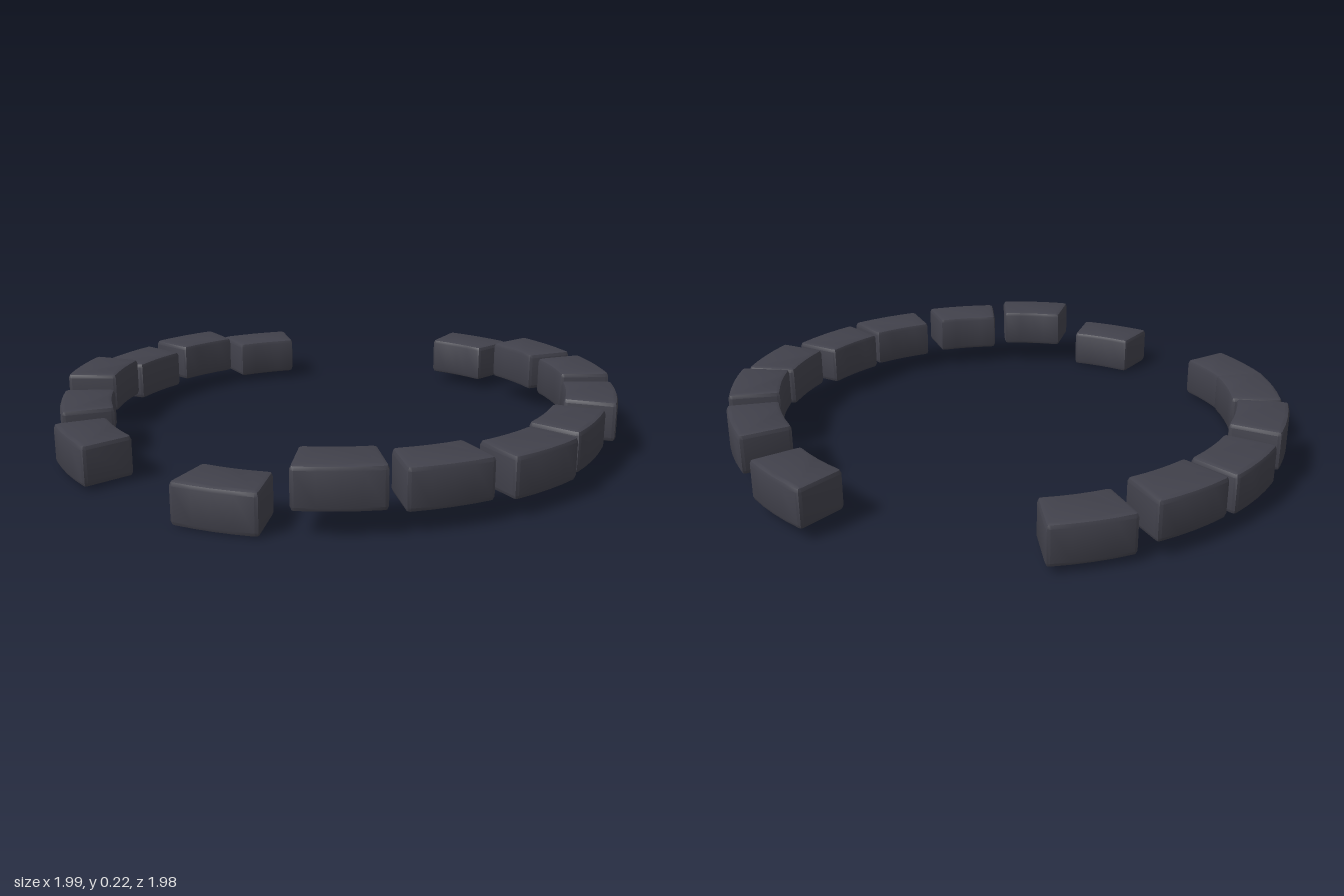
import * as THREE from 'three';
import { toCreasedNormals } from 'three/addons/utils/BufferGeometryUtils.js';

const OUTER = 0.985, INNER = 0.805, HALF = THREE.MathUtils.degToRad(8.3);
const HEIGHT = 0.142, BEVEL = 0.016, ROUND = 0.014;

// one curved block: a ring sector with rounded corners and bevelled rims
function stoneGeometry() {
  const mid = (OUTER + INNER) / 2 * Math.cos(HALF);
  const at = (r, a) => [r * Math.sin(a), r * Math.cos(a) - mid];
  const s = new THREE.Shape();
  const arc = (r, from, to) => {
    for (let i = 1; i <= 4; i++) s.lineTo(...at(r, from + (to - from) * i / 4));
  };
  const o = HALF - ROUND / OUTER, n = HALF - ROUND / INNER;
  s.moveTo(...at(OUTER, -o));
  arc(OUTER, -o, o);
  s.quadraticCurveTo(...at(OUTER, HALF), ...at(OUTER - ROUND, HALF));
  s.lineTo(...at(INNER + ROUND, HALF));
  s.quadraticCurveTo(...at(INNER, HALF), ...at(INNER, n));
  arc(INNER, n, -n);
  s.quadraticCurveTo(...at(INNER, -HALF), ...at(INNER + ROUND, -HALF));
  s.lineTo(...at(OUTER - ROUND, -HALF));
  s.quadraticCurveTo(...at(OUTER, -HALF), ...at(OUTER, -o));
  const geo = new THREE.ExtrudeGeometry(s, {
    depth: HEIGHT - 2 * BEVEL, curveSegments: 2,
    bevelEnabled: true, bevelSize: BEVEL, bevelThickness: BEVEL,
    bevelOffset: -BEVEL, bevelSegments: 2,
  });
  geo.translate(0, 0, -(HEIGHT - 2 * BEVEL) / 2);
  geo.rotateX(Math.PI / 2);
  return toCreasedNormals(geo, 0.5);
}

// x, z, heading in degrees from the front, bottom height
const STONES = [
  [0.297, -0.864, 159.5, 0.038],
  [0.588, -0.680, 138, 0.076],
  [0.787, -0.426, 119.6, 0.08],
  [0.881, -0.147, 99.3, 0.064],
  [0.845, 0.154, 79, 0.056],
  [0.759, 0.426, 58, 0.055],
  [0.544, 0.656, 38.8, 0.066],
  [0.286, 0.811, 20.4, 0.08],
  [-0.037, 0.882, 0, 0],
  [-0.610, 0.658, -39, 0.01],
  [-0.766, 0.425, -60, 0.035],
  [-0.886, 0.112, -81, 0.066],
  [-0.878, -0.171, -101, 0.04],
  [-0.780, -0.450, -118.9, 0.053],
  [-0.582, -0.679, -138, 0.022],
];

export function createModel() {
  const group = new THREE.Group();
  group.name = 'brokenStoneRing';
  const stone = new THREE.MeshStandardMaterial({ color: 0x41414b });
  stone.name = 'darkStone';
  const geo = stoneGeometry();
  STONES.forEach(([x, z, deg, y], i) => {
    const mesh = new THREE.Mesh(geo, stone);
    mesh.name = `ringStone${i + 1}`;
    mesh.position.set(x, y + HEIGHT / 2, z);
    mesh.rotation.y = THREE.MathUtils.degToRad(deg);
    group.add(mesh);
  });
  return group;
}
